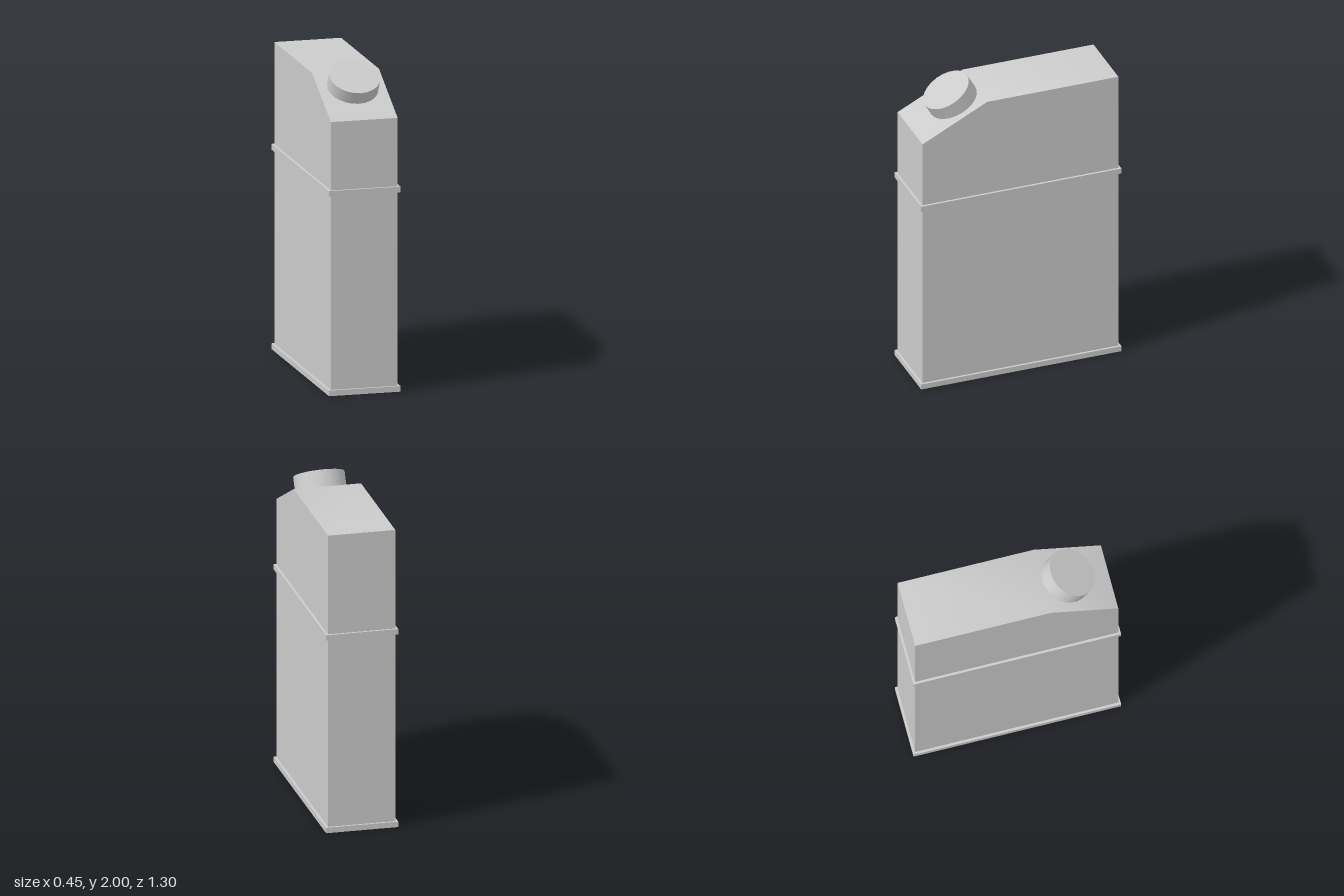
import * as THREE from 'three';
import { toCreasedNormals } from 'three/addons/utils/BufferGeometryUtils.js';

const material = new THREE.MeshStandardMaterial({ color: 0xcccccc });

export function createModel() {
  const canister = new THREE.Group();
  canister.name = 'canister';

  const add = (name, geometry, x, y, z) => {
    const mesh = new THREE.Mesh(geometry, material);
    mesh.name = name;
    mesh.position.set(x, y, z);
    canister.add(mesh);
    return mesh;
  };

  // Body: side profile (z, y) with a sloped front shoulder, extruded across x
  const width = 0.42;
  const profile = new THREE.Shape([
    [-0.635, 0.01], [0.635, 0.01], [0.635, 1.7], [0.215, 1.91], [-0.635, 1.91],
  ].map(([z, y]) => new THREE.Vector2(z, y)));
  let body = new THREE.ExtrudeGeometry(profile, { depth: width, bevelEnabled: false });
  body.translate(0, 0, -width / 2);
  body.rotateY(-Math.PI / 2); // profile's x becomes +z
  // Soft shading where the shoulder meets the top, sharp elsewhere
  body = toCreasedNormals(body, THREE.MathUtils.degToRad(35));
  add('body', body, -0.003, 0, 0);

  // Raised bands around the foot and the middle
  const band = new THREE.BoxGeometry(0.45, 0.035, 1.298);
  add('baseBand', band, -0.003, 0.0175, 0);
  add('middleBand', band, -0.003, 1.2575, 0);

  // Filler cap, tilted forward and sunk into the shoulder
  const cap = add('cap', new THREE.CylinderGeometry(0.157, 0.157, 0.11, 24), 0.002, 1.875, 0.377);
  cap.rotation.x = Math.PI / 6;

  return canister;
}
